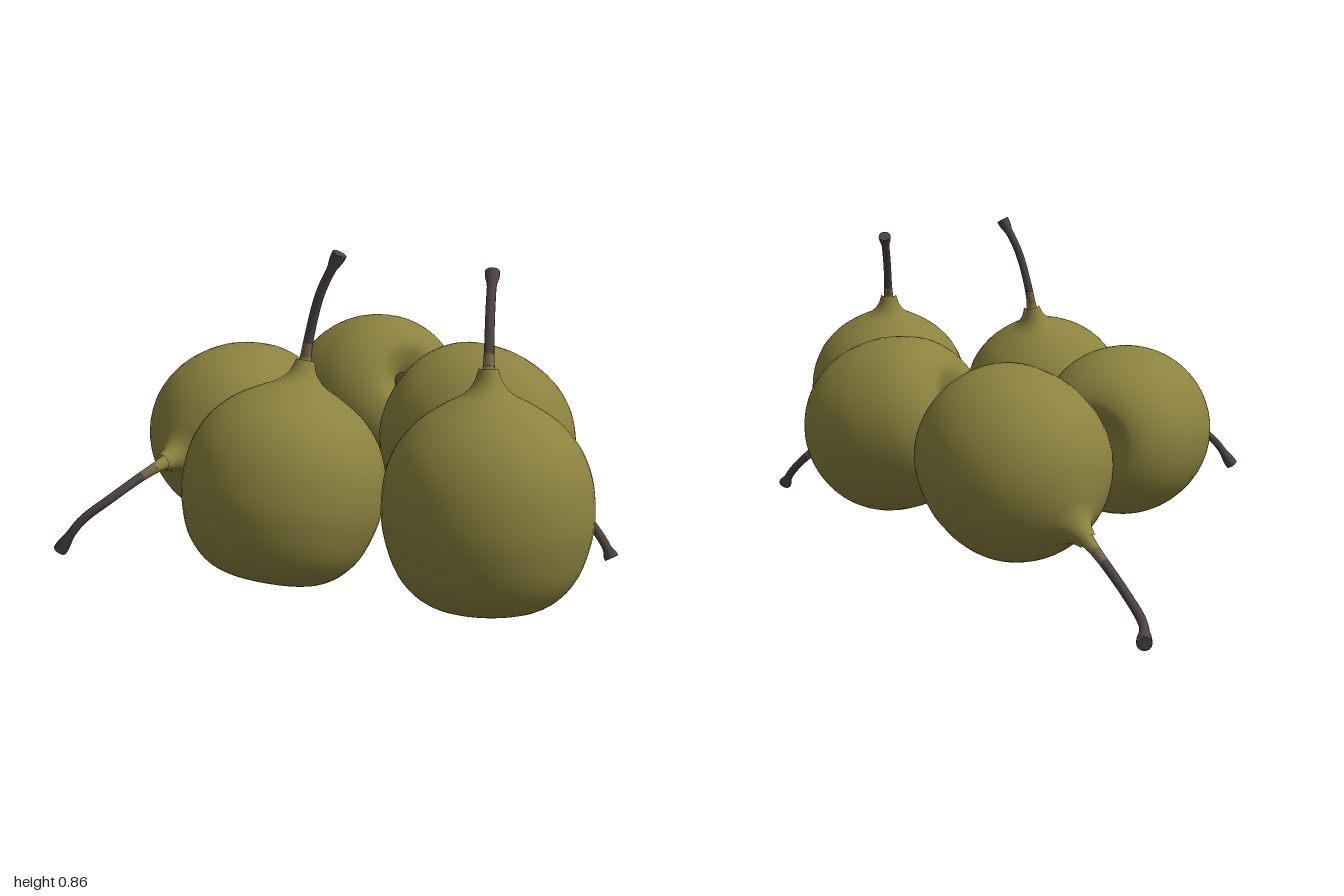
import * as THREE from 'three';

const skin = new THREE.MeshStandardMaterial({ name: 'olive skin', color: 0x8c823f });
const bark = new THREE.MeshStandardMaterial({ name: 'stem brown', color: 0x4d4441 });
const collarBrown = new THREE.MeshStandardMaterial({ name: 'collar brown', color: 0x74664a });
const calyxBrown = new THREE.MeshStandardMaterial({ name: 'calyx brown', color: 0x4a3e28 });

const v = (p) => new THREE.Vector3(...p);

// Body outline: radius and height along the fruit's own axis, widest at 0
const outline = new THREE.SplineCurve([
  [0, -0.2], [0.03, -0.205], [0.06, -0.228], [0.11, -0.249], [0.17, -0.225], [0.222, -0.165],
  [0.253, -0.075], [0.26, 0], [0.25, 0.08], [0.22, 0.15], [0.17, 0.207], [0.11, 0.247],
  [0.062, 0.272], [0.036, 0.3], [0.024, 0.335],
].map(([r, y]) => new THREE.Vector2(r, y))).getPoints(56);
outline.forEach((p) => { p.x = Math.max(p.x, 0); });

// Tube along part of a curve, each ring scaled by a radius rule
function taperedTube(curve, from, to, radiusAt, steps, sides = 12) {
  const points = [];
  for (let i = 0; i <= steps; i++) points.push(curve.getPointAt(from + (to - from) * i / steps));
  const path = new THREE.CatmullRomCurve3(points);
  const geo = new THREE.TubeGeometry(path, steps, 1, sides);
  const pos = geo.attributes.position;
  const p = new THREE.Vector3();
  for (let i = 0; i <= steps; i++) {
    const c = path.getPointAt(i / steps);
    const r = radiusAt(from + (to - from) * i / steps);
    for (let j = 0; j <= sides; j++) {
      const k = i * (sides + 1) + j;
      p.fromBufferAttribute(pos, k).sub(c).multiplyScalar(r).add(c);
      pos.setXYZ(k, p.x, p.y, p.z);
    }
  }
  return geo;
}

// Neck flares into the fruit, stem is thin, the cut end is a small knob
const stemRadius = (t) => 0.012 + 0.026 * Math.exp(-t * 11) + 0.007 * THREE.MathUtils.smoothstep(t, 0.86, 0.97);

function add(group, name, geo, mat) {
  const mesh = new THREE.Mesh(geo, mat);
  mesh.name = name;
  group.add(mesh);
  return mesh;
}

function makePear({ name, center, stem, length = 1, width = 1 }) {
  const pear = new THREE.Group();
  pear.name = name;
  const axis = v(stem[0]).sub(v(center)).normalize();

  // Round fruit with a sunken blossom end
  const fruit = new THREE.Group();
  fruit.name = 'fruit';
  fruit.position.set(...center);
  fruit.quaternion.setFromUnitVectors(new THREE.Vector3(0, 1, 0), axis);
  fruit.scale.set(width, length, width);
  add(fruit, 'body', new THREE.LatheGeometry(outline, 48), skin);
  const calyx = add(fruit, 'calyx', new THREE.SphereGeometry(0.034, 16, 8), calyxBrown);
  calyx.scale.y = 0.4;
  calyx.position.y = -0.207;
  pear.add(fruit);

  // Curved stem: green neck, brown collar, dark stalk
  const root = v(stem[0]).addScaledVector(axis, -0.03);
  const curve = new THREE.CatmullRomCurve3([root, ...stem.map(v)]);
  add(pear, 'neck', taperedTube(curve, 0, 0.2, stemRadius, 6), skin);
  add(pear, 'collar', taperedTube(curve, 0.2, 0.3, stemRadius, 4), collarBrown);
  add(pear, 'stem', taperedTube(curve, 0.3, 1, stemRadius, 24), bark);
  const cap = add(pear, 'stemEnd', new THREE.CircleGeometry(stemRadius(1), 12), bark);
  cap.position.copy(curve.getPointAt(1));
  cap.quaternion.setFromUnitVectors(new THREE.Vector3(0, 0, 1), curve.getTangentAt(1));
  return pear;
}

// Two fruits stand at the front, three lie on their sides behind
const pears = [
  {
    name: 'frontRightPear', center: [-0.13, 0.25, 0.56], length: 0.96,
    stem: [[-0.08, 0.53, 0.505], [-0.065, 0.62, 0.5], [-0.035, 0.74, 0.52], [0.012, 0.84, 0.54]],
  },
  {
    name: 'frontLeftPear', center: [0.37, 0.25, 0.74], length: 1.0,
    stem: [[0.37, 0.55, 0.7], [0.373, 0.61, 0.675], [0.38, 0.7, 0.62], [0.393, 0.795, 0.54]],
  },
  {
    name: 'sideRightPear', center: [-0.27, 0.255, 0.04], width: 0.97,
    stem: [[-0.45, 0.235, 0.28], [-0.515, 0.21, 0.345], [-0.6, 0.16, 0.4], [-0.68, 0.1, 0.41], [-0.742, 0.015, 0.4]],
  },
  {
    name: 'backPear', center: [0.13, 0.265, -0.305],
    stem: [[0, 0.135, -0.55], [-0.028, 0.1, -0.64], [-0.06, 0.05, -0.78], [-0.067, 0.025, -0.9], [-0.043, 0.017, -0.997]],
  },
  {
    name: 'sideLeftPear', center: [0.41, 0.267, 0.195],
    stem: [[0.64, 0.145, 0.39], [0.685, 0.1, 0.425], [0.718, 0.055, 0.455], [0.738, 0.015, 0.473]],
  },
];

export function createModel() {
  const model = new THREE.Group();
  model.name = 'pears';
  pears.forEach((p) => model.add(makePear(p)));
  return model;
}
